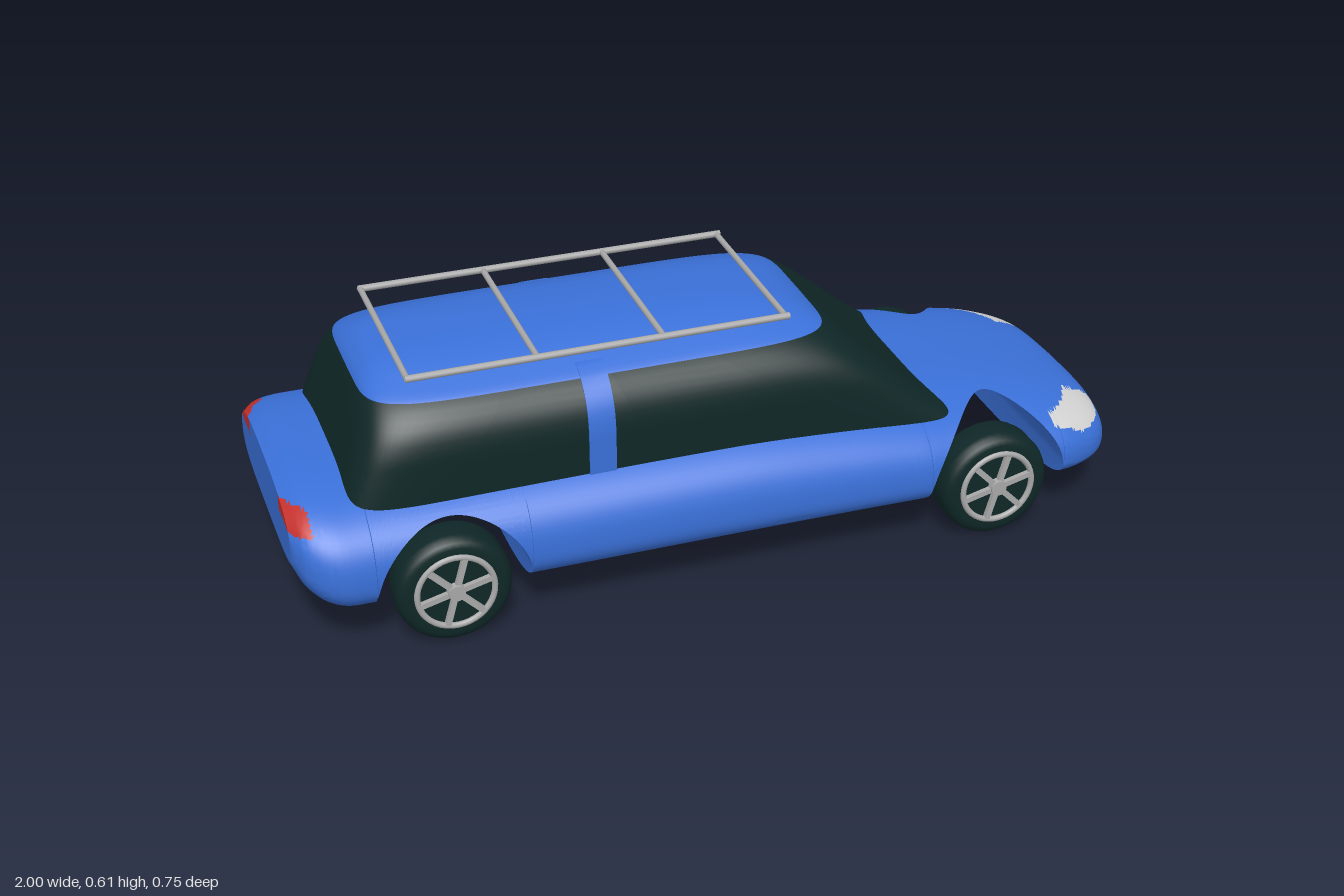
import * as THREE from 'three';
import { toCreasedNormals } from 'three/addons/utils/BufferGeometryUtils.js';

const mat = (name, color) => {
  const m = new THREE.MeshStandardMaterial({ color });
  m.name = name;
  return m;
};

// Smooth curve through [position, value] pairs
function curve(p) {
  const slope = (i) => {
    const a = p[Math.max(i - 1, 0)], b = p[Math.min(i + 1, p.length - 1)];
    return (b[1] - a[1]) / (b[0] - a[0]);
  };
  return (x) => {
    if (x <= p[0][0]) return p[0][1];
    if (x >= p[p.length - 1][0]) return p[p.length - 1][1];
    let i = 0;
    while (x > p[i + 1][0]) i++;
    const h = p[i + 1][0] - p[i][0], t = (x - p[i][0]) / h, t2 = t * t, t3 = t2 * t;
    return (2 * t3 - 3 * t2 + 1) * p[i][1] + (t3 - 2 * t2 + t) * h * slope(i)
      + (3 * t2 - 2 * t3) * p[i + 1][1] + (t3 - t2) * h * slope(i + 1);
  };
}

// Skin over closed rings; pick(x, y, z) chooses the material index of each face
function loft(rings, pick, crease) {
  const pos = [];
  for (let i = 0; i < rings.length - 1; i++) {
    const n = rings[i].length;
    for (let j = 0; j < n; j++) {
      const k = (j + 1) % n;
      const a = rings[i][j], b = rings[i][k], c = rings[i + 1][k], d = rings[i + 1][j];
      pos.push(...a, ...d, ...c, ...a, ...c, ...b);
    }
  }
  let g = new THREE.BufferGeometry();
  g.setAttribute('position', new THREE.Float32BufferAttribute(pos, 3));
  g = toCreasedNormals(g, crease);
  const lists = [];
  for (let f = 0; f < pos.length; f += 9) {
    const mid = [0, 1, 2].map((q) => (pos[f + q] + pos[f + 3 + q] + pos[f + 6 + q]) / 3);
    const v = f / 3;
    (lists[pick(...mid)] ??= []).push(v, v + 1, v + 2);
  }
  g.setIndex(lists.flat());
  let start = 0;
  lists.forEach((l, m) => { g.addGroup(start, l.length, m); start += l.length; });
  return g;
}

export function createModel() {
  const car = new THREE.Group();
  car.name = 'car';
  const blue = mat('bluePaint', 0x3a70d8), dark = mat('darkGlassAndRubber', 0x0f2727);
  const silver = mat('silver', 0xa8a8a8), lamp = mat('headlightWhite', 0xd2d2d2), red = mat('taillightRed', 0xc4302c);
  const add = (name, geo, m, parent = car, x = 0, y = 0, z = 0) => {
    const mesh = new THREE.Mesh(geo, m);
    mesh.name = name;
    mesh.position.set(x, y, z);
    parent.add(mesh);
    return mesh;
  };

  // Lower body: cross-sections along x, with the wheel arches cut right across
  const wheelX = [-0.66, 0.65], archR = 0.175, archY = 0.135;
  const top = curve([[-1, 0.355], [-0.96, 0.37], [-0.87, 0.372], [0, 0.378], [0.3, 0.362], [0.53, 0.336],
    [0.65, 0.323], [0.8, 0.295], [0.9, 0.268], [0.96, 0.243], [0.992, 0.215]]);
  const bottom = curve([[-1, 0.2], [-0.975, 0.15], [-0.93, 0.11], [-0.87, 0.095], [0.85, 0.095], [0.93, 0.103], [0.992, 0.12]]);
  const width = curve([[-1, 0.29], [-0.975, 0.335], [-0.92, 0.368], [-0.85, 0.374], [0.45, 0.376], [0.55, 0.37],
    [0.7, 0.36], [0.82, 0.357], [0.88, 0.343], [0.94, 0.31], [0.975, 0.265], [0.992, 0.21]]);
  const arch = (x) => Math.max(...wheelX.map((c) => {
    const d = Math.abs(x - c);
    return d > archR - 1e-5 ? 0 : archY + Math.sqrt(archR * archR - d * d);
  }));
  const section = (x, s = 1) => {
    const lo = bottom(x), hi = top(x), mid = lo + 0.37 * (hi - lo), side = [];
    const from = Math.max(lo, arch(x)), n = 40;
    for (let j = 0; j <= n; j++) {
      const y = from + (hi - from) * (1 - Math.cos((Math.PI * j) / n)) / 2;
      const v = y > mid ? (y - mid) / (hi - mid) : (mid - y) / (mid - lo);
      const w = width(x) * Math.pow(Math.max(0, 1 - Math.pow(v, 2.5)), y > mid ? 1 / 3 : 1 / 4);
      side.push([x, mid + (y - mid) * s, w * s]);
    }
    return [...side, ...side.map(([a, b, c]) => [a, b, -c]).reverse()];
  };
  const stations = [];
  for (let i = 0; i <= 332; i++) stations.push(-1 + (1.992 * i) / 332);
  for (const c of wheelX) for (let k = 0; k <= 24; k++) stations.push(c + archR * Math.cos((Math.PI * k) / 24));
  stations.sort((a, b) => a - b);
  const caps = Array.from({ length: 13 }, (_, i) => i / 13);
  const rings = [...caps.map((s) => section(-1, s)), ...stations.map((x) => section(x)),
    ...caps.reverse().map((s) => section(0.992, s))];
  add('body', loft(rings, (x, y, z) => {
    const a = Math.abs(z);
    if (x > 0.81 && a > 0.18 && a < 0.322 && y > 0.214 && y < 0.261) return 1;
    if (x < -0.955 && a > 0.17 && y > 0.305 && y < 0.345) return 2;
    return 0;
  }, 0.6), [blue, lamp, red]);
  add('grille', new THREE.BoxGeometry(0.02, 0.05, 0.374), dark, car, 0.99, 0.145, 0);

  // Cabin: stacked outlines, dark glass below and painted roof above
  const back = curve([[0.29, -0.885], [0.335, -0.87], [0.545, -0.8], [0.57, -0.78], [0.59, -0.745], [0.6, -0.68]]);
  const front = curve([[0.29, 0.595], [0.32, 0.55], [0.345, 0.515], [0.445, 0.4], [0.545, 0.28], [0.57, 0.235], [0.59, 0.16], [0.6, 0.06]]);
  const half = curve([[0.29, 0.3], [0.4, 0.3], [0.45, 0.298], [0.5, 0.283], [0.545, 0.245], [0.57, 0.195], [0.59, 0.145], [0.6, 0.1]]);
  const roofLine = 0.545;
  const levels = [];
  for (let i = 0; i <= 17; i++) levels.push(0.29 + (0.015 * i));
  for (let i = 1; i <= 11; i++) levels.push(roofLine + 0.005 * i);
  const outline = (y, s = 1) => {
    const e = 2 / THREE.MathUtils.mapLinear(y, 0.29, 0.6, 14, 4.5);
    const cx = (front(y) + back(y)) / 2, hx = (front(y) - back(y)) / 2;
    const pw = (v) => Math.sign(v) * Math.pow(Math.abs(v), e);
    return Array.from({ length: 72 }, (_, j) => {
      const t = (j / 72) * Math.PI * 2;
      return [cx + hx * pw(Math.cos(t)) * s, y, half(y) * pw(Math.sin(t)) * s];
    });
  };
  add('cabin', loft([...levels.map((y) => outline(y)), outline(0.6, 0)],
    (x, y) => (y > roofLine ? 1 : 0), 0.7), [dark, blue]);

  // Door pillars: one painted hoop standing just proud of the glass
  const edge = levels.filter((y) => y < 0.57).map((y) => new THREE.Vector2(half(y) + 0.003, y));
  const hoop = new THREE.Shape([...edge, ...edge.map((p) => new THREE.Vector2(-p.x, p.y)).reverse()]);
  const hoopGeo = new THREE.ExtrudeGeometry(hoop, { depth: 0.062, bevelEnabled: false });
  hoopGeo.rotateY(Math.PI / 2);
  add('doorPillars', toCreasedNormals(hoopGeo, 0.6), blue, car, -0.33, 0, 0);

  // Roof rack
  const rack = new THREE.Group();
  rack.name = 'roofRack';
  car.add(rack);
  for (const z of [-0.226, 0.226]) {
    add('rackRail', new THREE.CylinderGeometry(0.008, 0.008, 0.882, 12), silver, rack, -0.274, 0.604, z).rotation.z = Math.PI / 2;
  }
  for (const x of [-0.71, -0.42, -0.13, 0.158]) {
    add('rackBar', new THREE.CylinderGeometry(0.007, 0.007, 0.46, 12), silver, rack, x, 0.604, 0).rotation.x = Math.PI / 2;
  }

  // Wheels: rounded tyre, rim ring, six spokes and hub
  const tyreProfile = [[0, -0.05], [0.11, -0.05], [0.122, -0.046], [0.13, -0.036], [0.133, -0.025], [0.133, 0.025],
    [0.13, 0.036], [0.122, 0.046], [0.11, 0.05], [0.094, 0.05], [0.09, 0.044], [0, 0.044]].map(([r, h]) => new THREE.Vector2(r, h));
  const tyreGeo = toCreasedNormals(new THREE.LatheGeometry(tyreProfile, 40).rotateX(Math.PI / 2), 0.7);
  const rimGeo = new THREE.TorusGeometry(0.088, 0.007, 10, 40);
  const spokeGeo = new THREE.BoxGeometry(0.084, 0.013, 0.012).translate(0.044, 0, 0);
  const hubGeo = new THREE.CylinderGeometry(0.019, 0.021, 0.018, 20).rotateX(Math.PI / 2);
  for (const x of wheelX) for (const s of [1, -1]) {
    const wheel = new THREE.Group();
    wheel.name = (x > 0 ? 'front' : 'rear') + 'Wheel';
    wheel.position.set(x, 0.133, s * 0.311);
    wheel.rotation.y = s > 0 ? 0 : Math.PI;
    add('tyre', tyreGeo, dark, wheel);
    add('rim', rimGeo, silver, wheel, 0, 0, 0.05);
    add('hub', hubGeo, silver, wheel, 0, 0, 0.052);
    for (let k = 0; k < 6; k++) add('spoke', spokeGeo, silver, wheel, 0, 0, 0.05).rotation.z = (k * Math.PI) / 3 + 0.25;
    car.add(wheel);
  }
  return car;
}
